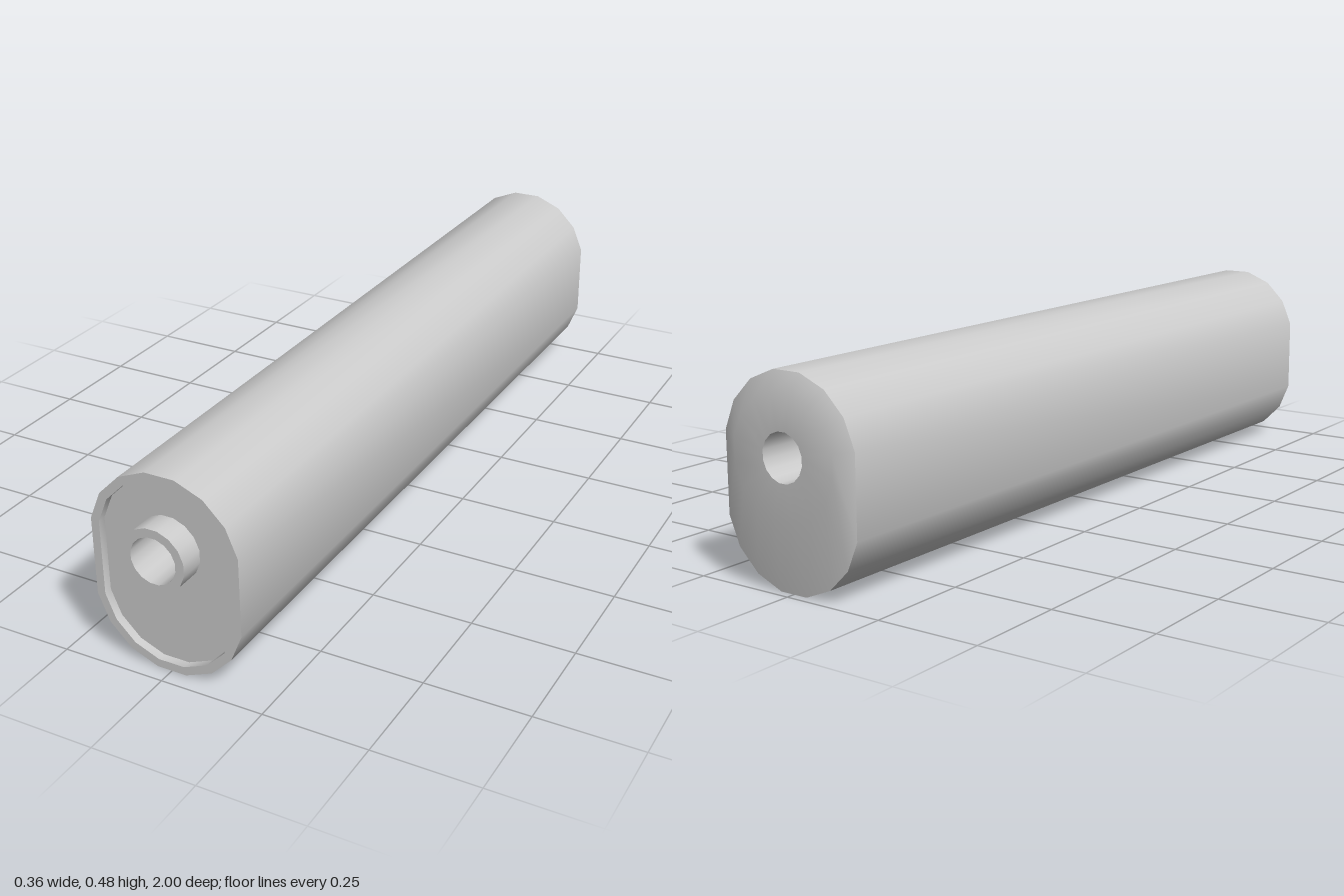
import * as THREE from 'three';
import { toCreasedNormals } from 'three/addons/utils/BufferGeometryUtils.js';

const SIDES = 16;
const UPPER = 0.298, LOWER = 0.182, BORE_Y = 0.3;

// 16-sided ring split into an upper and a lower half (equal centres give a circle)
function ring(radius, z, top, bottom) {
  return Array.from({ length: SIDES }, (_, i) => {
    const a = ((i + 0.5) / SIDES) * Math.PI * 2;
    return [Math.cos(a) * radius, (Math.sin(a) > 0 ? top : bottom) + Math.sin(a) * radius, z];
  });
}
const circle = (r, z) => ring(r, z, BORE_Y, BORE_Y);
const oval = (r, z) => ring(r, z, UPPER, LOWER);

// Skin through successive rings, smooth around and creased at sharp edges
function skin(name, rings, material) {
  const positions = [];
  for (let k = 0; k < rings.length - 1; k++) {
    const a = rings[k], b = rings[k + 1];
    for (let i = 0; i < SIDES; i++) {
      const j = (i + 1) % SIDES;
      positions.push(...a[i], ...a[j], ...b[j], ...a[i], ...b[j], ...b[i]);
    }
  }
  const geometry = new THREE.BufferGeometry();
  geometry.setAttribute('position', new THREE.Float32BufferAttribute(positions, 3));
  const mesh = new THREE.Mesh(toCreasedNormals(geometry, THREE.MathUtils.degToRad(40)), material);
  mesh.name = name;
  return mesh;
}

export function createModel() {
  const group = new THREE.Group();
  group.name = 'cylinderHousing';
  const grey = new THREE.MeshStandardMaterial({ color: 0xcccccc });
  const back = -1, shoulder = -0.98, front = 0.96, recess = 0.94, tip = 1;

  // Housing: sloped back cap, long oval wall, front rim and recessed front plate
  group.add(skin('housing', [
    circle(0.056, back), circle(0.14, back),
    oval(0.1855, shoulder), oval(0.1855, front),
    oval(0.165, front), oval(0.165, recess), circle(0.077, recess),
  ], grey));

  // Short collar standing out of the front plate
  group.add(skin('collar', [circle(0.077, recess), circle(0.077, tip), circle(0.056, tip)], grey));

  // Bore running the whole length
  group.add(skin('bore', [circle(0.056, tip), circle(0.056, back)], grey));
  return group;
}
